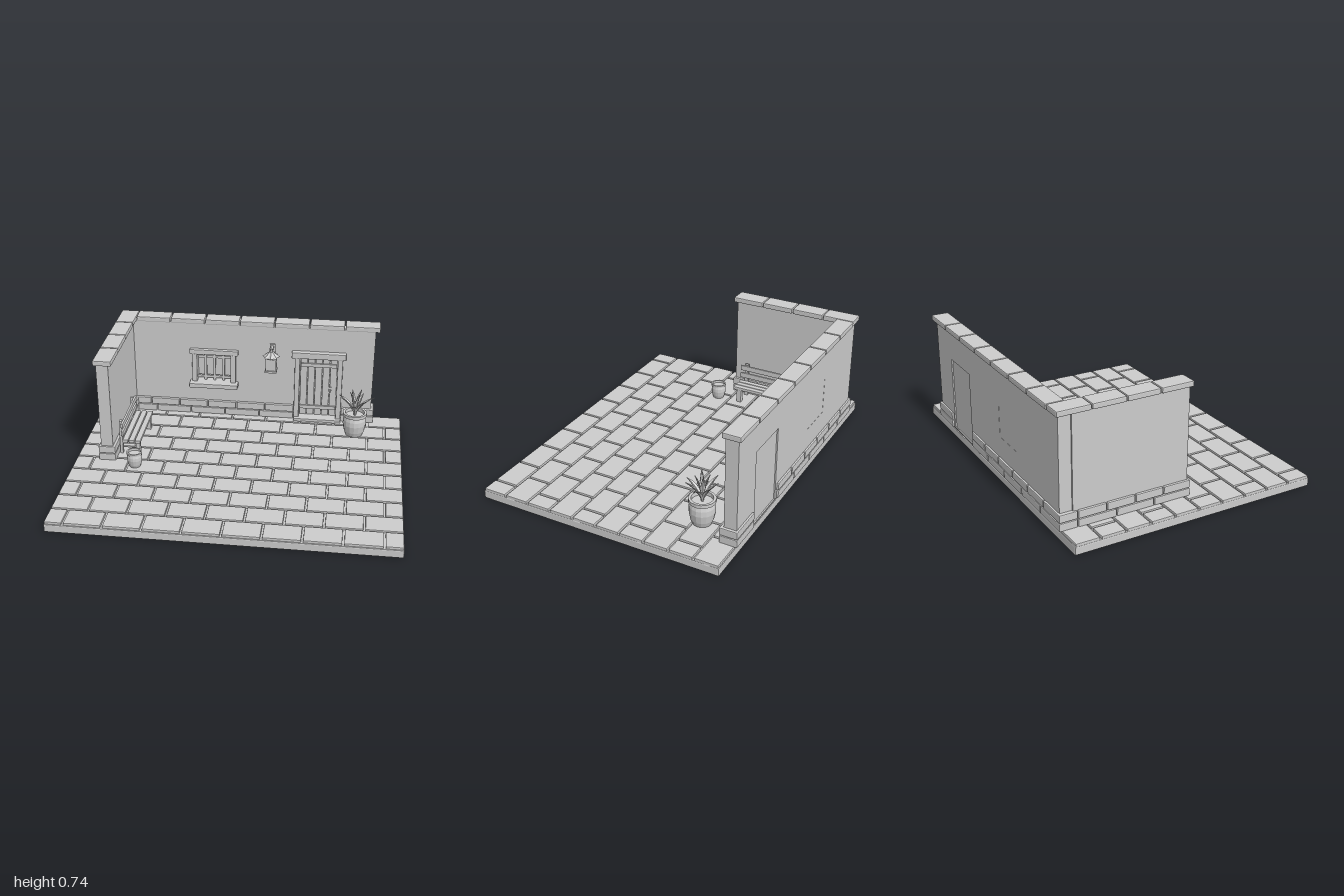
import * as THREE from 'three';
import { RoundedBoxGeometry } from 'three/addons/geometries/RoundedBoxGeometry.js';

const stone = new THREE.MeshStandardMaterial({ color: 0xcccccc, flatShading: true });
stone.name = 'lightGrey';

function add(parent, name, geometry, x = 0, y = 0, z = 0) {
  const mesh = new THREE.Mesh(geometry, stone);
  mesh.name = name;
  mesh.position.set(x, y, z);
  parent.add(mesh);
  return mesh;
}

function group(parent, name, x = 0, y = 0, z = 0) {
  const g = new THREE.Group();
  g.name = name;
  g.position.set(x, y, z);
  parent.add(g);
  return g;
}

// Box given by its limits; bevel > 0 softens the edges
function box(parent, name, x0, x1, y0, y1, z0, z1, bevel = 0) {
  const s = [x1 - x0, y1 - y0, z1 - z0];
  const geo = bevel ? new RoundedBoxGeometry(...s, 1, bevel) : new THREE.BoxGeometry(...s);
  return add(parent, name, geo, (x0 + x1) / 2, (y0 + y1) / 2, (z0 + z1) / 2);
}

function floor(root) {
  const g = group(root, 'floor');
  box(g, 'slab', -1, 1, 0, 0.05, -0.74, 0.757, 0.006);
  const pitch = 0.2235, row = 0.1497, gap = 0.006;
  for (let r = 0; r < 10; r++) {
    const z = -0.74 + r * row;
    const start = r % 2 ? -5 * pitch : -4.5 * pitch;
    for (let x = start; x < 0.999; x += pitch) {
      const a = Math.max(x + gap, -0.998), b = Math.min(x + pitch - gap, 0.998);
      if (b - a > 0.02) box(g, 'pavingTile', a, b, 0.045, 0.065, z + gap, z + row - gap, 0.004);
    }
  }
}

function rectPath(Type, x0, x1, y0, y1) {
  const p = new Type();
  p.moveTo(x0, y0);
  p.lineTo(x1, y0);
  p.lineTo(x1, y1);
  p.lineTo(x0, y1);
  p.closePath();
  return p;
}

function walls(root) {
  const g = group(root, 'walls');
  const face = rectPath(THREE.Shape, -0.832, 0.8, 0.06, 0.71);
  face.holes.push(rectPath(THREE.Path, 0.31, 0.585, 0.066, 0.52));
  face.holes.push(rectPath(THREE.Path, -0.365, -0.11, 0.29, 0.51));
  add(g, 'backWall', new THREE.ExtrudeGeometry(face, { depth: 0.075, bevelEnabled: false }), 0, 0, -0.74);
  box(g, 'sideWall', -0.842, -0.768, 0.06, 0.71, -0.668, 0.03);

  // Coping stones
  for (let i = 0; i < 7; i++) {
    const x = -0.745 + i * 0.225;
    box(g, 'copingStone', x + 0.003, x + 0.222, 0.704, 0.737, -0.762, -0.655, 0.006);
  }
  for (let i = 0; i < 4; i++) {
    const z = -0.762 + i * 0.203;
    box(g, 'copingStone', -0.857, -0.745, 0.704, 0.737, z + 0.003, z + 0.2, 0.006);
  }

  // Two courses of plinth blocks, leaving the doorway open
  const course = (a, b, n, make) => {
    const d = (b - a) / n;
    for (let i = 0; i < n; i++) make(a + i * d + 0.003, a + (i + 1) * d - 0.003);
  };
  for (let k = 0; k < 2; k++) {
    const y0 = 0.062 + k * 0.05, y1 = y0 + 0.046;
    const backBlock = (a, b) => box(g, 'plinthBlock', a, b, y0, y1, -0.752, -0.645, 0.005);
    course(-0.857, 0.293, 5 + k, backBlock);
    course(0.602, 0.82, 1, backBlock);
    course(-0.645, 0.045, 3 + k, (a, b) => box(g, 'plinthBlock', -0.857, -0.752, y0, y1, a, b, 0.005));
  }
}

function door(root) {
  const g = group(root, 'door');
  box(g, 'doorBacking', 0.31, 0.585, 0.066, 0.52, -0.732, -0.7);
  for (let i = 0; i < 5; i++) {
    const x = 0.327 + i * 0.0485;
    box(g, 'doorPlank', x + 0.002, x + 0.0465, 0.075, 0.51, -0.7, -0.685, 0.003);
  }
  for (const y of [0.14, 0.445]) box(g, 'doorBrace', 0.33, 0.565, y - 0.012, y + 0.012, -0.69, -0.675);
  for (const x of [0.293, 0.57]) box(g, 'doorJamb', x, x + 0.033, 0.065, 0.51, -0.71, -0.638, 0.004);
  box(g, 'doorLintel', 0.272, 0.622, 0.508, 0.55, -0.7, -0.628, 0.005);
  box(g, 'doorStep', 0.295, 0.605, 0.06, 0.082, -0.71, -0.612, 0.004);
  box(g, 'handlePlate', 0.519, 0.535, 0.248, 0.292, -0.687, -0.678);
  box(g, 'handle', 0.522, 0.532, 0.262, 0.278, -0.68, -0.656);
}

function windowUnit(root) {
  const g = group(root, 'window');
  box(g, 'windowBacking', -0.365, -0.11, 0.29, 0.51, -0.739, -0.715);
  for (const x of [-0.382, -0.128]) box(g, 'windowJamb', x, x + 0.033, 0.3, 0.5, -0.71, -0.642, 0.004);
  box(g, 'windowLintel', -0.398, -0.078, 0.496, 0.53, -0.7, -0.64, 0.005);
  box(g, 'windowSill', -0.398, -0.078, 0.272, 0.303, -0.71, -0.6, 0.005);
  for (const x of [-0.297, -0.238, -0.179]) {
    box(g, 'windowBar', x - 0.008, x + 0.008, 0.3, 0.5, -0.69, -0.674);
  }
  for (const y of [0.325, 0.468]) box(g, 'windowRail', -0.352, -0.125, y - 0.008, y + 0.008, -0.693, -0.677);
}

function lantern(root) {
  const g = group(root, 'lantern', 0.145, 0, -0.572);
  box(g, 'wallPlate', -0.018, 0.018, 0.51, 0.59, -0.096, -0.082);
  box(g, 'bracketArm', -0.008, 0.008, 0.565, 0.58, -0.09, 0.01);
  // Two crossed pyramids form the star-shaped roof
  for (const turn of [0, Math.PI / 4]) {
    add(g, 'lanternRoof', new THREE.ConeGeometry(0.057, 0.042, 4), 0, 0.563, 0).rotation.y = turn;
  }
  add(g, 'lanternFinial', new THREE.CylinderGeometry(0.008, 0.012, 0.022, 8), 0, 0.582, 0);
  box(g, 'lanternBase', -0.038, 0.038, 0.44, 0.452, -0.038, 0.038);
  box(g, 'lanternCollar', -0.036, 0.036, 0.532, 0.544, -0.036, 0.036);
  box(g, 'lanternGlass', -0.026, 0.026, 0.45, 0.534, -0.026, 0.026);
  for (const x of [-0.029, 0.029]) for (const z of [-0.029, 0.029]) {
    box(g, 'lanternPost', x - 0.005, x + 0.005, 0.45, 0.534, z - 0.005, z + 0.005);
  }
}

function bench(root) {
  const g = group(root, 'bench');
  for (const x of [-0.722, -0.683, -0.644]) {
    box(g, 'seatSlat', x, x + 0.034, 0.153, 0.173, -0.428, -0.028, 0.003);
  }
  for (const y of [0.195, 0.247]) box(g, 'backSlat', -0.728, -0.714, y, y + 0.034, -0.428, -0.028, 0.003);
  for (const z of [-0.39, -0.065]) {
    box(g, 'backPost', -0.744, -0.727, 0.065, 0.288, z - 0.012, z + 0.012);
    box(g, 'frontLeg', -0.642, -0.617, 0.065, 0.153, z - 0.015, z + 0.015);
    box(g, 'seatBearer', -0.735, -0.617, 0.133, 0.153, z - 0.011, z + 0.011);
  }
}

// Hollow turned pot with a rim: r is the belly radius, h the height
function pot(parent, name, r, h) {
  const profile = [[0, 0], [0.7, 0], [0.86, 0.2], [0.97, 0.5], [0.95, 0.7], [0.85, 0.86],
    [1, 0.87], [1, 1], [0.8, 1], [0.78, 0.86], [0, 0.86]];
  const points = profile.map(([a, b]) => new THREE.Vector2(a * r, b * h));
  return add(parent, name, new THREE.LatheGeometry(points, 16));
}

// Folded, pointed blade that curves outward
function leafGeometry(length, width, lean, bend) {
  const geo = new THREE.BoxGeometry(1, 1, 1, 2, 5, 1);
  const p = geo.attributes.position;
  for (let i = 0; i < p.count; i++) {
    const t = p.getY(i) + 0.5, side = p.getX(i) * 2;
    const w = width * (0.35 + 1.5 * t) * (1 - t * t);
    const angle = lean + bend * t;
    const fold = Math.abs(side) * w * 0.5 + p.getZ(i) * 0.004;
    const out = Math.sin(angle) * length * t - fold * Math.cos(angle);
    const up = Math.cos(angle) * length * t + fold * Math.sin(angle);
    p.setXYZ(i, side * w, up, -out);
  }
  // Outward runs along -z, so the blade's thickness keeps its winding
  geo.computeVertexNormals();
  return geo;
}

function plants(root) {
  const small = group(root, 'smallPot', -0.622, 0.065, 0.085);
  pot(small, 'smallPotBody', 0.048, 0.098);

  const big = group(root, 'pottedPlant', 0.697, 0.065, -0.485);
  pot(big, 'bigPotBody', 0.077, 0.157);
  for (let i = 0; i < 11; i++) {
    const outer = i < 7;
    const leaf = add(big, 'leaf', outer
      ? leafGeometry(0.155 + (i % 3) * 0.012, 0.015, 0.3, 0.3 + (i % 2) * 0.14)
      : leafGeometry(0.175 + (i % 2) * 0.01, 0.014, 0.1, 0.14), 0, 0.13, 0);
    leaf.rotation.y = outer ? i * Math.PI * 2 / 7 + 0.3 : i * Math.PI / 2 + 0.6;
  }
}

export function createModel() {
  const root = new THREE.Group();
  root.name = 'courtyard';
  for (const build of [floor, walls, door, windowUnit, lantern, bench, plants]) build(root);
  return root;
}
